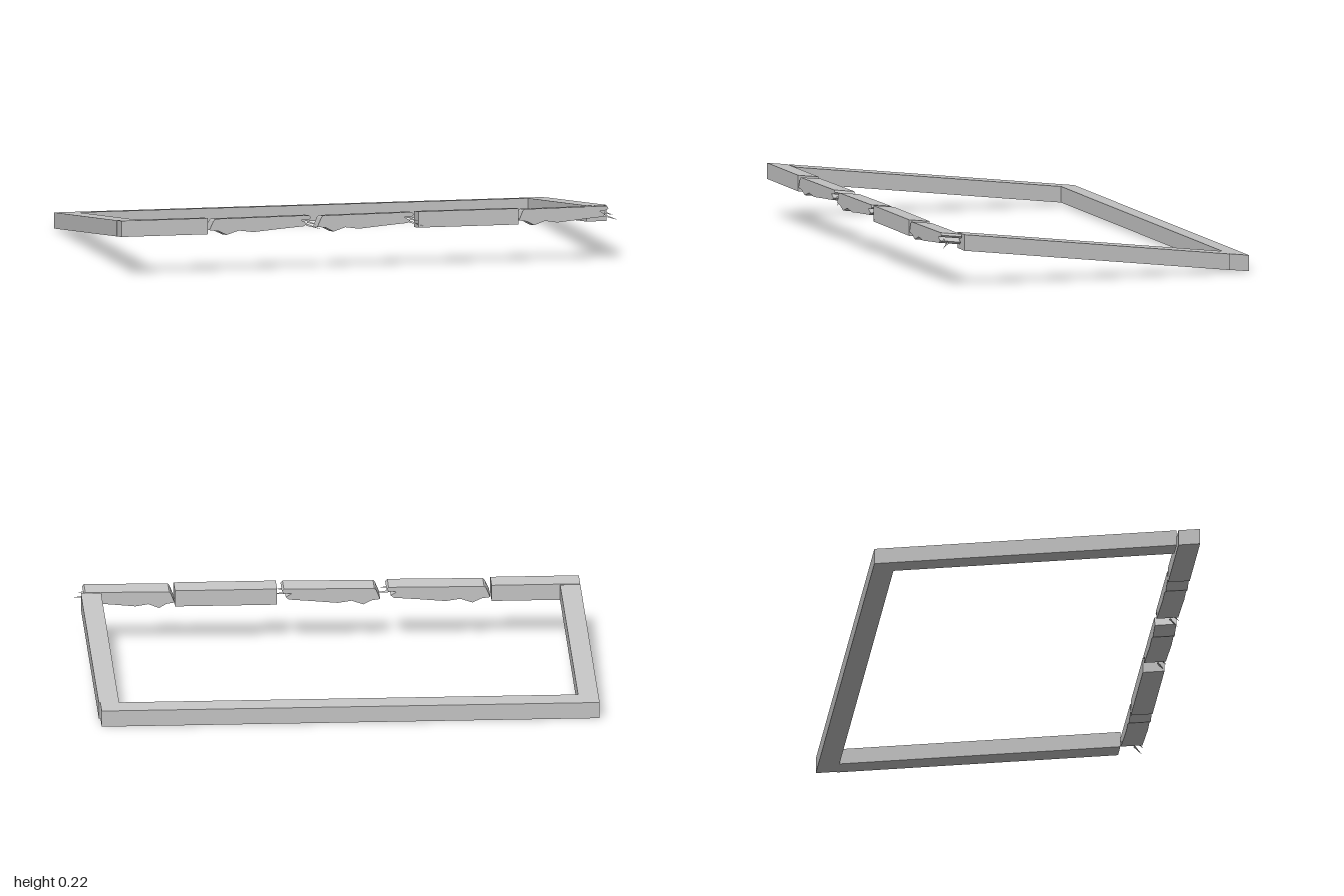
import * as THREE from 'three';

const SLOPE = 0.122, MID = 0.113, HALF = 0.032;

// Tilts the frame while keeping its upright faces vertical
function slant(geometry) {
  const p = geometry.attributes.position;
  for (let i = 0; i < p.count; i++) p.setY(i, p.getY(i) + MID + SLOPE * p.getZ(i));
  const flat = geometry.index ? geometry.toNonIndexed() : geometry;
  flat.computeVertexNormals();
  return flat;
}

export function createModel() {
  const group = new THREE.Group();
  const stone = new THREE.MeshStandardMaterial({ color: 0xc4c4c4 });
  stone.name = 'pale grey';

  const add = (name, geometry) => {
    const mesh = new THREE.Mesh(slant(geometry), stone);
    mesh.name = name;
    group.add(mesh);
  };
  const beam = (name, x0, x1, z0, z1) => {
    const g = new THREE.BoxGeometry(x1 - x0, HALF * 2, z1 - z0);
    add(name, g.translate((x0 + x1) / 2, 0, (z0 + z1) / 2));
  };

  // Plain beams of the frame
  beam('backBeam', -1, 0.967, -0.655, -0.57);
  beam('rightBeam', -1, -0.92, -0.57, 0.545);
  beam('leftBeam', 0.893, 0.973, -0.57, 0.545);

  // Whole blocks of the front edge
  beam('frontCornerBlock', -1, -0.65, 0.552, 0.638);
  beam('frontBlock', 0.197, 0.6, 0.552, 0.638);

  // Broken blocks: ragged underside and a split right end; x runs 0 to 1 along the block
  const ragged = [
    [0, -0.016], [0.09, -0.021], [0.17, -0.037], [0.29, -0.021], [0.43, -0.029],
    [0.68, -0.02], [0.93, -0.012], [0.96, -0.002], [0.9, 0.012], [0.98, 0.014],
    [1, 0.022], [0.98, 0.031], [0.06, 0.028], [0.04, 0.02],
  ];
  const splinter = (name, x, y, z, dx, dy, dz) => {
    const dir = new THREE.Vector3(dx, dy, dz);
    const g = new THREE.ConeGeometry(0.005, dir.length(), 3);
    g.applyQuaternion(new THREE.Quaternion().setFromUnitVectors(
      new THREE.Vector3(0, 1, 0), dir.clone().normalize()));
    add(name, g.translate(x + dx / 2, y + dy / 2, z + dz / 2));
  };

  [[-0.645, -0.235], [-0.21, 0.178], [0.602, 0.962]].forEach(([x0, x1], i) => {
    const outline = ragged.map(([t, y]) => new THREE.Vector2(x0 + t * (x1 - x0), y));
    const g = new THREE.ExtrudeGeometry(new THREE.Shape(outline), { depth: 0.086, bevelEnabled: false });
    add('brokenBlock' + (i + 1), g.translate(0, 0, 0.552));
    // Thin splinters at the split end
    splinter('splinter' + (i + 1) + 'a', x1 - 0.012, -0.008, 0.607, 0.05, -0.018, 0.038);
    splinter('splinter' + (i + 1) + 'b', x1 - 0.012, 0.004, 0.622, 0.03, -0.01, 0.024);
  });

  return group;
}
